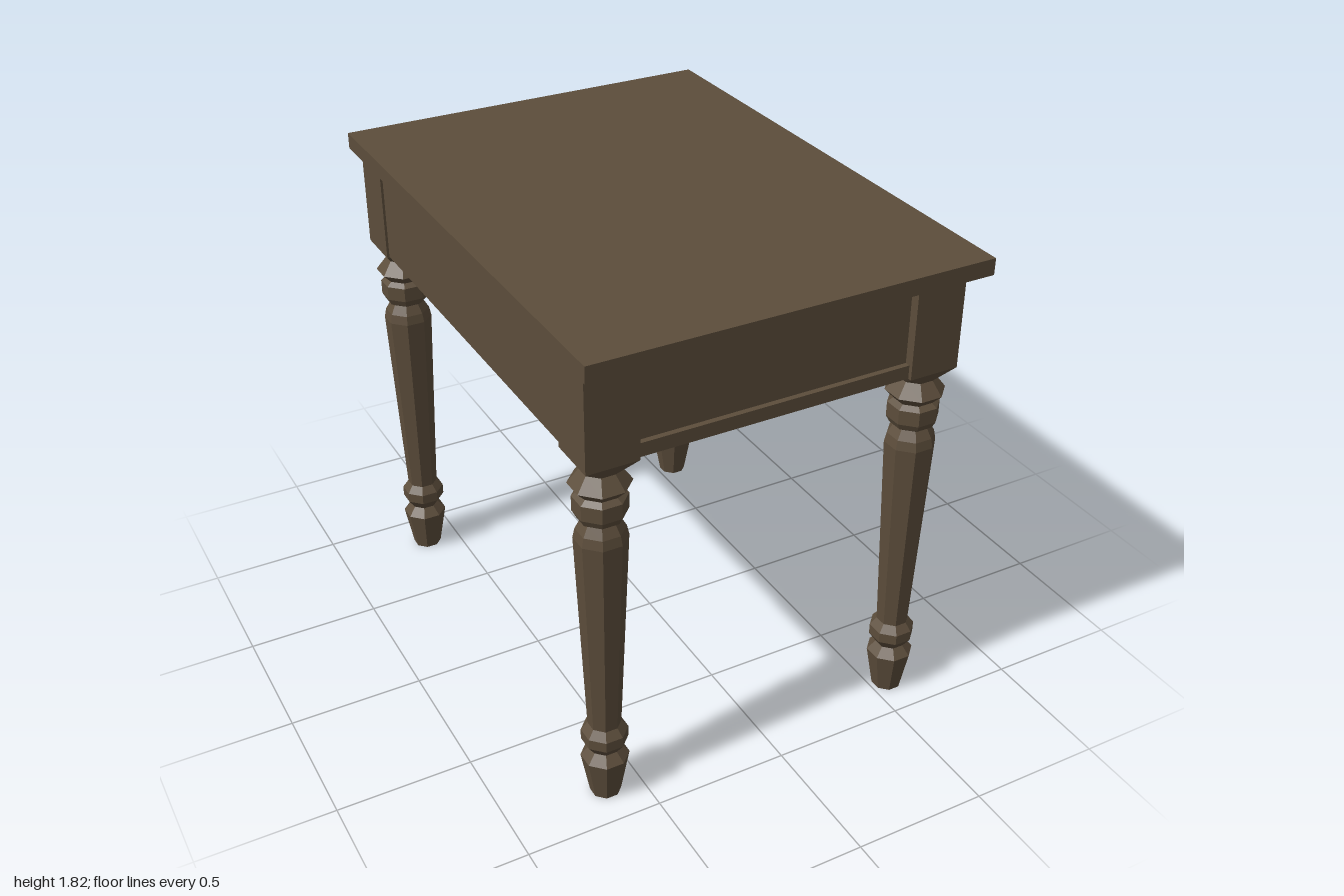
import * as THREE from 'three';

export function createModel() {
  const model = new THREE.Group();
  model.name = 'sideTable';
  const wood = new THREE.MeshStandardMaterial({ color: 0x5c4d3b });
  wood.name = 'dark wood';
  const metal = new THREE.MeshStandardMaterial({ color: 0xb4b4b4 });
  metal.name = 'grey metal';

  const add = (name, geometry, material = wood) => {
    const mesh = new THREE.Mesh(geometry, material);
    mesh.name = name;
    model.add(mesh);
    return mesh;
  };

  // Box given by its lower and upper limits on each axis
  const box = (name, [x0, x1], [y0, y1], [z0, z1]) =>
    add(name, new THREE.BoxGeometry(x1 - x0, y1 - y0, z1 - z0))
      .position.set((x0 + x1) / 2, (y0 + y1) / 2, (z0 + z1) / 2);

  // Top and recessed case
  box('tableTop', [-0.75, 0.72], [1.76, 1.82], [-1, 1]);
  box('case', [-0.715, 0.635], [1.405, 1.76], [-0.9, 0.9]);

  // Bottom rails on both ends and under the drawer
  for (const s of [-1, 1]) {
    const z = [s * 0.89, s * 0.92].sort((a, b) => a - b);
    box('endRail', [-0.54, 0.48], [1.4, 1.45], z);
  }
  box('drawerRail', [0.62, 0.655], [1.4, 1.45], [-0.75, 0.75]);

  // Drawer front and its knob, which stands clear of the panel
  box('drawerFront', [0.63, 0.676], [1.495, 1.725], [-0.665, 0.665]);
  const knob = add('drawerKnob',
    new THREE.CylinderGeometry(0.064, 0.064, 0.03, 16).toNonIndexed(), metal);
  knob.geometry.computeVertexNormals();
  knob.rotation.z = -Math.PI / 2;
  knob.position.set(0.73, 1.63, 0);

  // Eight-sided turned leg: half width across flats, height
  const half = 0.093;
  const profile = [
    [0, 0], [0.051, 0], [0.079, 0.165], [0.05, 0.2], [0.076, 0.24],
    [0.076, 0.28], [0.054, 0.31], [0.084, 1.09], [0.077, 1.125], [0.058, 1.16],
    [0.073, 1.17], [0.085, 1.195], [0.085, 1.25], [0.066, 1.265], [0.097, 1.3],
    [0.06, 1.35], [half, 1.4],
  ].map(([w, y]) => new THREE.Vector2(w / Math.cos(Math.PI / 8), y));
  let legShape = new THREE.LatheGeometry(profile, 8, Math.PI / 8);

  // Pull the top ring out to the corners of the square block
  const p = legShape.attributes.position;
  for (let i = 0; i < p.count; i++) {
    if (p.getY(i) > 1.39) {
      p.setX(i, Math.sign(p.getX(i)) * half);
      p.setZ(i, Math.sign(p.getZ(i)) * half);
    }
  }
  legShape = legShape.toNonIndexed();
  legShape.computeVertexNormals();

  // Four legs with their corner blocks
  for (const x of [-0.63, 0.57]) {
    for (const z of [-0.842, 0.842]) {
      add('leg', legShape).position.set(x, 0, z);
      box('cornerBlock', [x - 0.094, x + 0.094], [1.4, 1.76], [z - half, z + half]);
    }
  }
  return model;
}
